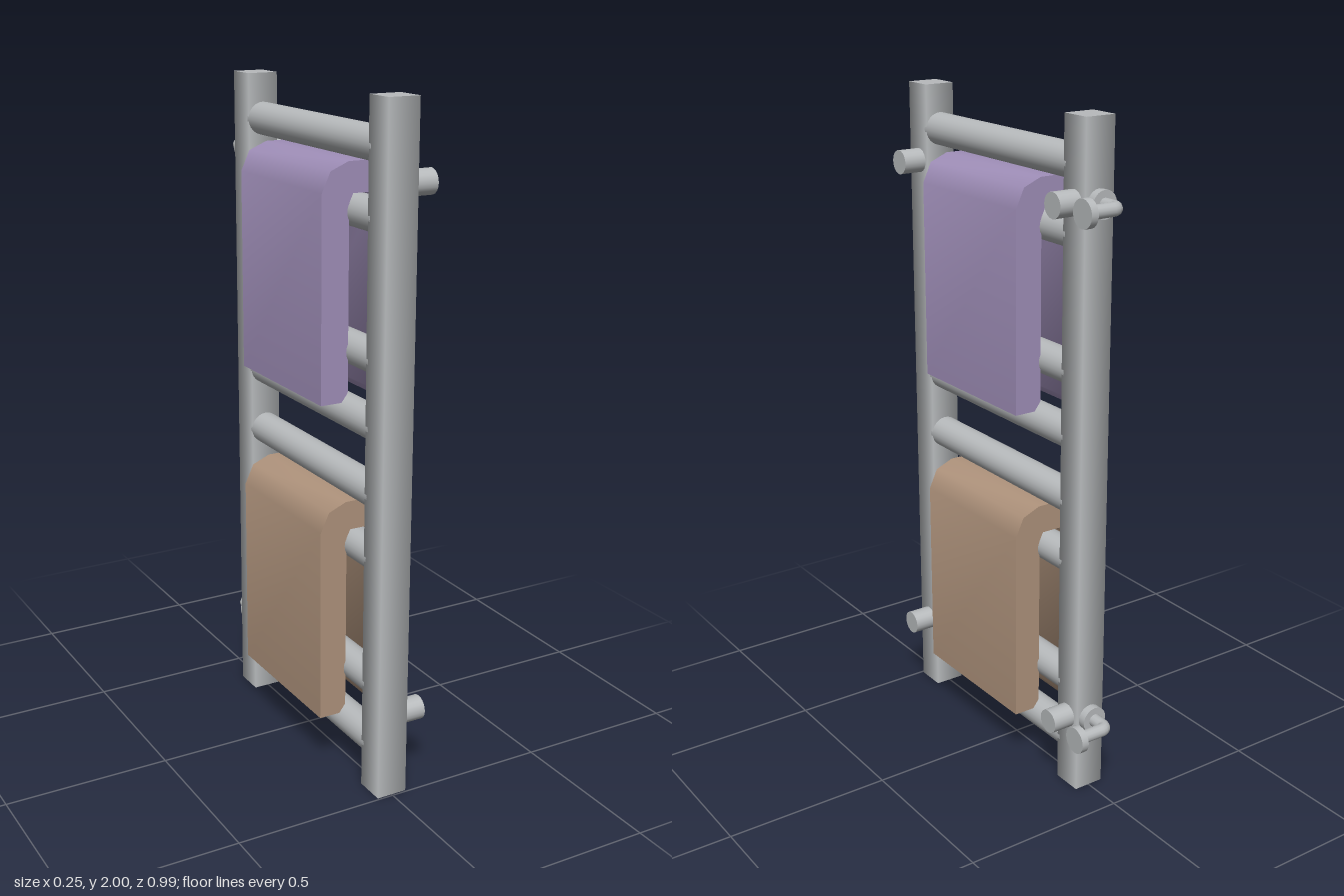
import * as THREE from 'three';
import { toCreasedNormals } from 'three/addons/utils/BufferGeometryUtils.js';

export function createModel() {
  const model = new THREE.Group();
  model.name = 'towelRail';

  const mat = (name, color) => new THREE.MeshStandardMaterial({ name, color });
  const steel = mat('steel', 0xb7babc);
  const lilac = mat('lilacCloth', 0xa08fb9);
  const tan = mat('tanCloth', 0xaf937c);

  const add = (name, geometry, material, parent = model) => {
    const mesh = new THREE.Mesh(geometry, material);
    mesh.name = name;
    parent.add(mesh);
    return mesh;
  };

  // Cylinder along x or z, from one coordinate to another
  const rod = (axis, radius, from, to, a, y, sides = 20) => {
    const g = new THREE.CylinderGeometry(radius, radius, to - from, sides);
    const mid = (from + to) / 2;
    if (axis === 'x') return g.rotateZ(-Math.PI / 2).translate(mid, y, a);
    return g.rotateX(Math.PI / 2).translate(a, y, mid);
  };

  // Square upright posts with softly shaded sides
  const postZ = { front: 0.447, back: -0.329 };
  for (const [side, z] of Object.entries(postZ)) {
    const g = new THREE.CylinderGeometry(0.0665, 0.0665, 2, 4);
    add(side + 'Post', g.rotateY(Math.PI / 4).translate(0, 1, z), steel);
  }

  // Rungs between the posts
  for (const y of [0.138, 0.33, 0.718, 0.905, 1.102, 1.293, 1.68, 1.868]) {
    add('rung', rod('z', 0.048, -0.29, 0.41, 0, y, 24), steel);
  }

  // Wall pegs and pipe elbows at the top and bottom fixings
  for (const y of [0.234, 1.772]) {
    for (const z of [0.446, -0.327]) {
      add('wallPeg', rod('x', 0.036, 0.04, 0.117, z, y), steel);
    }

    const valve = new THREE.Group();
    valve.name = 'pipeElbow';
    model.add(valve);
    add('postCollar', rod('z', 0.04, -0.4, -0.37, 0, y), steel, valve);
    const path = new THREE.CurvePath();
    const p = (x, z) => new THREE.Vector3(x, y, z);
    path.add(new THREE.LineCurve3(p(0, -0.39), p(0, -0.435)));
    path.add(new THREE.QuadraticBezierCurve3(p(0, -0.435), p(0, -0.456), p(0.022, -0.456)));
    path.add(new THREE.LineCurve3(p(0.022, -0.456), p(0.1, -0.456)));
    add('bentPipe', new THREE.TubeGeometry(path, 20, 0.0195, 14), steel, valve);
    add('wallFlange', rod('x', 0.04, 0.095, 0.117, -0.456, y), steel, valve);
  }

  // Towels folded over a rung: outer and inner half profiles, mirrored
  const mirror = (pts) => pts.map(([x, y]) => [-x, y]).reverse();
  const outer = [[0.127, 0], [0.127, 0.585], [0.1, 0.643], [0.045, 0.666]];
  const inner = [[0.03, 0.58], [0.042, 0.555], [0.042, 0.026], [0.062, 0]];
  const profile = [...outer, ...mirror(outer), ...mirror(inner), ...inner];
  const towel = (name, base, material) => {
    const shape = new THREE.Shape(profile.map(([x, y]) => new THREE.Vector2(x, y)));
    const g = new THREE.ExtrudeGeometry(shape, { depth: 0.471, bevelEnabled: false });
    g.translate(0, base, -0.176);
    g.clearGroups();
    add(name, toCreasedNormals(g, 0.9), material);
  };
  towel('upperTowel', 1.15, lilac);
  towel('lowerTowel', 0.187, tan);

  return model;
}
